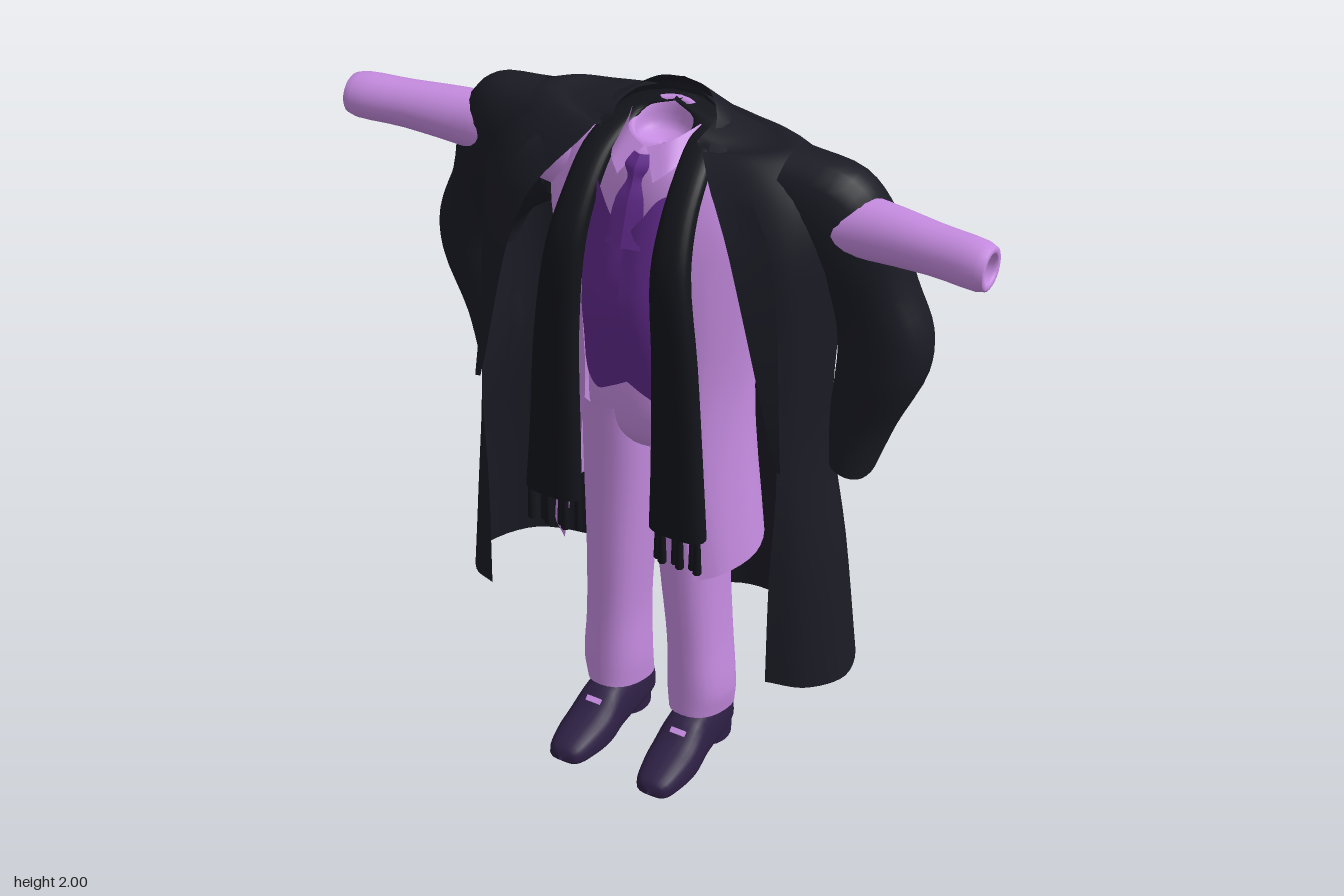
import * as THREE from 'three';

const mat = (name, color) => {
  const m = new THREE.MeshStandardMaterial({ color, side: THREE.DoubleSide });
  m.name = name;
  return m;
};

// Smooth surface through rows of control points; closed rows wrap round
function loft(rows, closed, n = 24, steps = 4) {
  const fine = rows.map((r) => {
    const c = new THREE.CatmullRomCurve3(r.map((p) => new THREE.Vector3(...p)), closed);
    return Array.from({ length: closed ? n : n + 1 }, (_, i) => c.getPoint(i / n));
  });
  const w = fine[0].length, m = (rows.length - 1) * steps;
  const cols = fine[0].map((_, i) => new THREE.CatmullRomCurve3(fine.map((r) => r[i])));
  const pos = [], idx = [];
  for (let j = 0; j <= m; j++) for (const c of cols) pos.push(...c.getPoint(j / m).toArray());
  for (let j = 0; j < m; j++) {
    for (let i = 0; i < n; i++) {
      const a = j * w + i, b = j * w + ((i + 1) % w);
      idx.push(a, b, a + w, b, b + w, a + w);
    }
  }
  const g = new THREE.BufferGeometry();
  g.setAttribute('position', new THREE.Float32BufferAttribute(pos, 3));
  g.setIndex(idx);
  g.computeVertexNormals();
  return g;
}

// Oval ring about (x, y, z): half axes (dx, dy) across and rz in depth; a low power squares it
function ring(x, y, z, dx, dy, rz, power = 1) {
  const f = (v) => Math.sign(v) * Math.abs(v) ** power;
  return Array.from({ length: 16 }, (_, i) => {
    const t = (i / 8) * Math.PI, u = f(Math.cos(t)), v = f(Math.sin(t));
    return [x + dx * u, y + dy * u, z + rz * v];
  });
}

// Half outline of an open coat: front edge, round the side, to the back seam, with a lapped vent
function drape([yFront, yBack, frontX, frontZ, sideX, sideZ, backZ]) {
  const mix = THREE.MathUtils.lerp, vent = Math.max(0, 1.15 - yFront);
  return [
    [frontX, frontZ],
    [mix(frontX, sideX, 0.6), mix(sideZ, frontZ, 0.7)],
    [sideX, sideZ],
    [sideX * 0.88, mix(sideZ, backZ, 0.6)],
    [sideX * 0.55, mix(sideZ, backZ, 0.86)],
    [sideX * 0.22, backZ],
    [vent * -0.01, backZ + vent * 0.1],
  ].map(([x, z], i) => [x, mix(yFront, yBack, Math.min(1, i / 5)), z]);
}

export function createModel() {
  const root = new THREE.Group();
  const coatMat = mat('coat charcoal', 0x1a1b24);
  const scarfMat = mat('scarf black', 0x13141a);
  const suitMat = mat('suit lilac', 0xc68ce1);
  const vestMat = mat('waistcoat violet', 0x612a8c);
  const shoeMat = mat('shoe aubergine', 0x2d1f43);

  const add = (name, geo, material) => {
    const m = new THREE.Mesh(geo, material);
    m.name = name;
    root.add(m);
    return m;
  };

  // Shirt with a closed neck hollow, dipping to the front: [y, half width, centre z, half depth]
  const shirt = [
    [1.15, 0.19, -0.01, 0.12], [1.75, 0.2, -0.01, 0.12], [1.87, 0.13, -0.02, 0.1],
    [1.95, 0.095, -0.03, 0.085], [1.95, 0.08, -0.03, 0.07], [1.88, 0.065, -0.03, 0.055],
    [1.86, 0.005, -0.03, 0.005],
  ];
  add('shirt', loft(shirt.map(([y, w, z, d]) => ring(0, y, z, w, 0, d)
    .map(([px, py, pz]) => [px, py - (y > 1.9 ? (pz + 0.1) * 0.4 : 0), pz])), true), suitMat);

  // Trouser seat: [y, half width, half depth]
  const seat = [[1.28, 0.185, 0.12], [1.15, 0.2, 0.13], [1.07, 0.19, 0.115], [1.03, 0.1, 0.09]];
  add('trouserSeat', loft(seat.map(([y, w, d]) => ring(0, y, 0, w, 0, d)), true), suitMat);

  for (const s of [1, -1]) {
    const side = s > 0 ? 'left' : 'right';
    const flip = (rows) => rows.map((r) => r.map(([x, y, z]) => [x * s, y, z]));
    const half = (name, rows, m, n = 24) => add(side + name, loft(flip(rows), false, n), m);
    const tube = (name, rings, m) => add(side + name, loft(flip(rings), true), m);

    // Overcoat half from hem to neck
    half('CoatBody', [
      [0.47, 0.36, 0.43, 0.18, 0.58, 0, -0.3],
      [0.8, 0.8, 0.43, 0.175, 0.54, 0, -0.26],
      [1.15, 1.15, 0.44, 0.17, 0.49, 0, -0.225],
      [1.5, 1.5, 0.4, 0.165, 0.5, 0, -0.21],
      [1.72, 1.74, 0.3, 0.155, 0.5, 0, -0.2],
      [1.84, 1.88, 0.21, 0.11, 0.48, -0.03, -0.18],
      [1.91, 1.955, 0.15, 0.05, 0.36, -0.05, -0.145],
      [1.9, 1.955, 0.13, 0.03, 0.27, -0.05, -0.135],
      [1.92, 1.98, 0.12, 0.02, 0.13, -0.04, -0.13],
    ].map(drape), coatMat, 36);

    // Turned-down collar running into the lapel
    half('CoatCollar', [
      [[0, 2, -0.13], [0.07, 1.99, -0.12], [0.13, 1.955, -0.06], [0.17, 1.885, 0.06], [0.29, 1.72, 0.165], [0.44, 1.15, 0.178]],
      [[0, 1.935, -0.185], [0.13, 1.925, -0.175], [0.22, 1.92, -0.07], [0.31, 1.85, 0.09], [0.39, 1.72, 0.135], [0.455, 1.15, 0.18]],
    ], coatMat, 30);

    // Empty hanging coat sleeve: [x, y, z, half axis x, half axis y]
    tube('CoatSleeve', [
      [0.33, 1.785, -0.045, 0.03, 0.155], [0.45, 1.745, -0.05, 0.075, 0.165],
      [0.52, 1.665, -0.07, 0.085, 0.14], [0.565, 1.54, -0.095, 0.095, 0.08],
      [0.595, 1.44, -0.1, 0.12, 0.04], [0.592, 1.34, -0.095, 0.12, 0.03],
      [0.55, 1.19, -0.09, 0.085, 0], [0.533, 1.065, -0.075, 0.054, -0.015],
    ].map(([x, y, z, dx, dy]) => ring(x, y, z, dx, dy, 0.06 + 0.28 * Math.hypot(dx, dy), 0.85)), coatMat);

    // Suit jacket half, open at the front
    half('JacketBody', [
      [0.7, 0.78, 0.2, 0.16, 0.3, 0, -0.18],
      [1.2, 1.2, 0.12, 0.17, 0.26, 0, -0.17],
      [1.55, 1.55, 0.12, 0.175, 0.29, 0, -0.17],
      [1.75, 1.75, 0.11, 0.135, 0.32, -0.03, -0.17],
      [1.87, 1.88, 0.11, 0.07, 0.24, -0.03, -0.14],
      [1.89, 1.94, 0.1, 0.02, 0.11, -0.02, -0.12],
    ].map(drape), suitMat);

    // Outstretched jacket sleeve with a hollow cuff: [x, y, z, radius]
    tube('JacketSleeve', [
      [0.2, 1.77, -0.02, 0.1], [0.55, 1.782, -0.03, 0.078], [0.75, 1.79, -0.005, 0.064],
      [0.905, 1.793, 0.02, 0.055], [0.905, 1.793, 0.02, 0.038], [0.86, 1.793, 0.015, 0.034],
      [0.85, 1.793, 0.015, 0.002],
    ].map(([x, y, z, r]) => ring(x, y, z, 0, r, r)), suitMat);

    // Waistcoat half with pointed hem and V neck: [y at centre, y at side, front z, half width]
    half('Waistcoat', [[1.265, 1.2, 0.16, 0.21], [1.5, 1.5, 0.2, 0.22], [1.69, 1.81, 0.17, 0.18]]
      .map(([yc, ys, z, w]) => [0, 0.25, 0.5, 0.75, 1].map((u) =>
        [w * u, yc + (ys - yc) * Math.min(1, u * 2), z - (z - 0.02) * u ** 2.3])), vestMat);

    // Necktie half, knot above and blade tucked in: [y, half width, z]
    half('Tie', [
      [1.885, 0.022, 0.09], [1.86, 0.033, 0.115], [1.83, 0.02, 0.125],
      [1.78, 0.04, 0.15], [1.67, 0.05, 0.187],
    ].map(([y, w, z]) => [[0, y, z], [w, y, z - 0.01]]), vestMat, 4);

    // Folded shirt collar point
    half('ShirtCollar', [
      [[0.005, 1.895, 0.065], [0.06, 1.915, 0.04], [0.097, 1.935, -0.04]],
      [[0.05, 1.83, 0.115], [0.085, 1.86, 0.085], [0.115, 1.9, -0.03]],
    ], suitMat, 8);

    // Trouser leg, hem lower at the heel: [y, x, half width, z, half depth]
    tube('TrouserLeg', [
      [1.14, 0.1, 0.1, 0, 0.13], [0.97, 0.105, 0.1, 0, 0.12], [0.65, 0.115, 0.085, 0, 0.112],
      [0.4, 0.129, 0.079, -0.007, 0.108], [0.22, 0.135, 0.085, -0.01, 0.112],
      [0.14, 0.132, 0.075, -0.018, 0.12],
    ].map(([y, x, w, z, d]) => ring(x, y, z, w, 0, d, 0.85)
      .map(([px, py, pz]) => [px, py + (y < 0.25 ? pz * 0.3 : 0), pz])), suitMat);

    // Shoe sections from toe to heel: [z, half width, bottom, top]
    tube('Shoe', [
      [0.302, 0.005, 0.035, 0.045], [0.285, 0.045, 0.02, 0.07], [0.22, 0.066, 0.01, 0.095],
      [0.15, 0.073, 0.005, 0.115], [0.07, 0.068, 0.012, 0.16], [-0.09, 0.06, 0.015, 0.15],
      [-0.125, 0.045, 0.015, 0.13], [-0.13, 0.004, 0.05, 0.07],
    ].map(([z, w, y0, y1]) => ring(0.133 + z * 0.03, 0, 0, w, 0, 1, 0.7)
      .map(([x, , v]) => [x, y0 + (y1 - y0) * (0.3 + v * (v > 0 ? 0.7 : 0.3)), z])), shoeMat);
    const heel = add(side + 'ShoeHeel', new THREE.CylinderGeometry(0.062, 0.062, 0.045, 20), shoeMat);
    heel.position.set(s * 0.133, 0.0225, -0.058);
    heel.scale.z = 1.15;
    const buckle = add(side + 'ShoeBuckle', new THREE.BoxGeometry(0.045, 0.016, 0.009), suitMat);
    buckle.position.set(s * 0.137, 0.13, 0.128);
    buckle.rotation.x = -0.95;

    // Scarf end, from the nape over the shoulder and down the chest: [x, y, z, half width]
    tube('Scarf', [
      [0.02, 1.955, -0.11, 0.03], [0.095, 1.935, -0.08, 0.035], [0.118, 1.91, -0.015, 0.038],
      [0.133, 1.865, 0.06, 0.042], [0.14, 1.775, 0.14, 0.045], [0.15, 1.65, 0.2, 0.052],
      [0.172, 1.4, 0.217, 0.062], [0.182, 1.1, 0.22, 0.073], [0.188, 0.9, 0.225, 0.082],
    ].map(([x, y, z, w]) => ring(x, y, z, w, 0, 0.034, 0.8)), scarfMat);

    // Scarf fringe
    for (let i = 0; i < 6; i++) {
      const f = add(side + 'ScarfFringe', new THREE.CylinderGeometry(0.008, 0.012, 0.12, 6), scarfMat);
      f.position.set(s * (0.122 + i * 0.026), 0.848 + (i % 2) * 0.01, 0.212 + (i % 2) * 0.024);
    }
  }
  return root;
}
